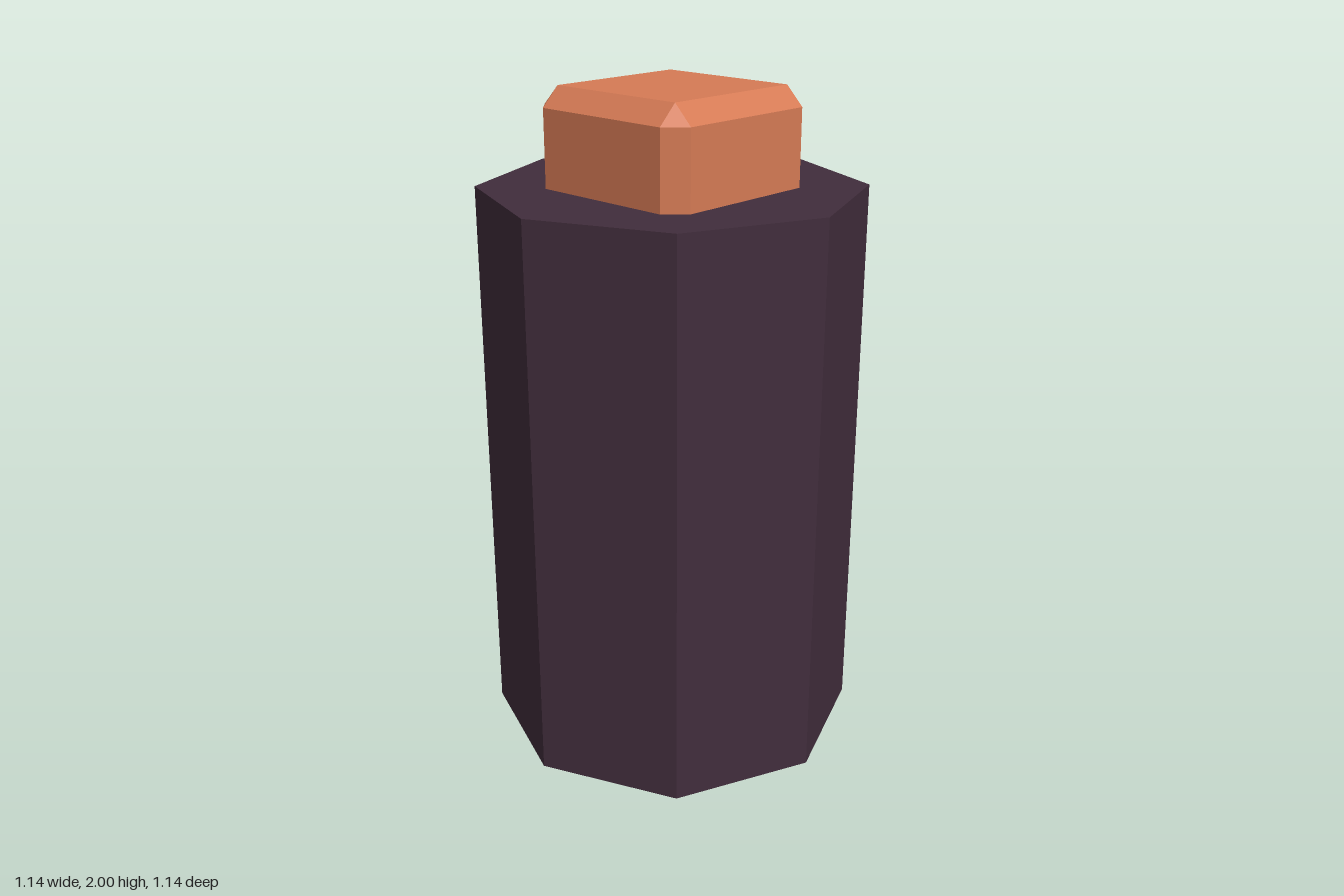
import * as THREE from 'three';
import { ConvexGeometry } from 'three/addons/geometries/ConvexGeometry.js';

const RADIUS = 0.5714, HEIGHT = 1.7143;
const CAP_HALF = 0.2857, BEVEL = 0.0571;

// Cube with every edge chamfered: hull of its six inset faces
function chamferedCube(half, bevel) {
  const inner = half - bevel, points = [];
  for (const x of [-1, 1]) for (const y of [-1, 1]) for (const z of [-1, 1]) {
    points.push(
      new THREE.Vector3(x * half, y * inner, z * inner),
      new THREE.Vector3(x * inner, y * half, z * inner),
      new THREE.Vector3(x * inner, y * inner, z * half)
    );
  }
  return new ConvexGeometry(points);
}

function addPart(group, name, geometry, color, y) {
  const material = new THREE.MeshStandardMaterial({ color, flatShading: true });
  const mesh = new THREE.Mesh(geometry, material);
  mesh.name = name;
  mesh.position.y = y;
  group.add(mesh);
}

export function createModel() {
  const group = new THREE.Group();
  group.name = 'cappedPost';

  // Eight-sided post
  addPart(group, 'post', new THREE.CylinderGeometry(RADIUS, RADIUS, HEIGHT, 8), 0x412d3c, HEIGHT / 2);

  // Chamfered block, half sunk into the top of the post
  addPart(group, 'topBlock', chamferedCube(CAP_HALF, BEVEL), 0xd67b55, HEIGHT);

  return group;
}
